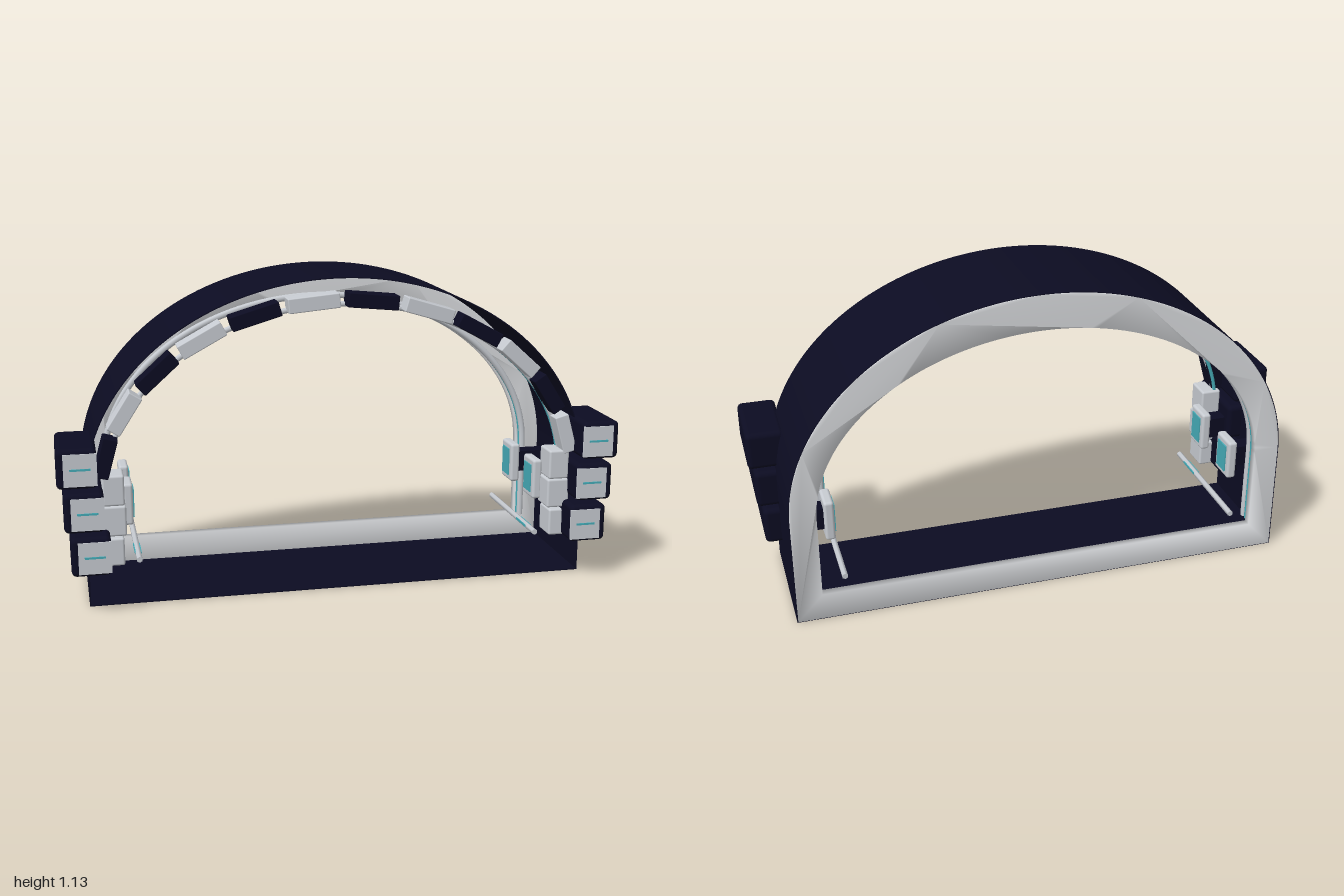
import * as THREE from 'three';
import { mergeVertices, toCreasedNormals } from 'three/addons/utils/BufferGeometryUtils.js';
import { RoundedBoxGeometry } from 'three/addons/geometries/RoundedBoxGeometry.js';

const material = (name, color, side = THREE.FrontSide) =>
  Object.assign(new THREE.MeshStandardMaterial({ color, side }), { name });

const SPRING = 0.4; // height where the straight legs meet the elliptical arch

// Closed arch outline: flat base, straight legs, half ellipse on top
function archOutline(a, b, base, Type) {
  const s = new Type();
  s.moveTo(-a, base);
  s.lineTo(a, base);
  s.lineTo(a, SPRING);
  s.absellipse(0, SPRING, a, b, 0, Math.PI, false, 0);
  s.lineTo(-a, base);
  return s;
}

function archRing(outer, inner, depth) {
  const shape = archOutline(...outer, THREE.Shape);
  shape.holes.push(archOutline(...inner, THREE.Path));
  return new THREE.ExtrudeGeometry(shape, { depth, bevelEnabled: false, curveSegments: 64 });
}

// Open arch line for the trim tubes
function archTube(a, b, base, z, radius) {
  const pts = [new THREE.Vector3(a, base, z), new THREE.Vector3(a, (base + SPRING) / 2, z)];
  for (let i = 0; i <= 32; i++) {
    const t = (i / 32) * Math.PI;
    pts.push(new THREE.Vector3(a * Math.cos(t), SPRING + b * Math.sin(t), z));
  }
  pts.push(new THREE.Vector3(-a, (base + SPRING) / 2, z), new THREE.Vector3(-a, base, z));
  return new THREE.TubeGeometry(new THREE.CatmullRomCurve3(pts), 120, radius, 8);
}

export function createModel() {
  const root = new THREE.Group();
  root.name = 'archGate';
  const navy = material('navy', 0x0c0c22, THREE.DoubleSide);
  const frameWhite = material('frameWhite', 0xdadcdf, THREE.DoubleSide);
  const panelGrey = material('panelGrey', 0xc8ccd2);
  const teal = material('teal', 0x46acb8);

  const add = (name, geometry, mat, x = 0, y = 0, z = 0, parent = root) => {
    const m = new THREE.Mesh(geometry, mat);
    m.name = name;
    m.position.set(x, y, z);
    parent.add(m);
    return m;
  };
  const box = (w, h, d, r = 0) =>
    r ? new RoundedBoxGeometry(w, h, d, 3, r) : new THREE.BoxGeometry(w, h, d);

  // Thin outer shell, open at both ends
  const shell = archRing([0.905, 0.73, 0], [0.901, 0.726, 0.004], 0.475);
  add('shell', toCreasedNormals(shell, 0.5), navy, 0, 0, -0.295);

  // Softly shaded frame closing the back edge of the shell
  let frame = archRing([0.902, 0.727, 0.002], [0.81, 0.6, 0.1], 0.03);
  frame.deleteAttribute('normal');
  frame.deleteAttribute('uv');
  frame = mergeVertices(frame, 1e-4);
  frame.computeVertexNormals();
  add('backFrame', frame, frameWhite, 0, 0, -0.2955);

  // Trim lines behind the front blocks and inside the back frame
  add('backTrim', archTube(0.822, 0.613, 0.1, -0.225, 0.012), panelGrey);
  add('backLightLine', archTube(0.82, 0.611, 0.1, -0.25, 0.007), teal);
  add('frontTrim', archTube(0.835, 0.632, 0.17, 0.14, 0.01), panelGrey);
  add('frontLightLine', archTube(0.833, 0.63, 0.17, 0.118, 0.007), teal);

  // Alternating blocks along the front of the arch
  const count = 12, A = 0.85, B = 0.65;
  const step = THREE.MathUtils.degToRad(156 / (count - 1));
  for (let i = 0; i < count; i++) {
    const t = THREE.MathUtils.degToRad(168) - i * step;
    const dx = A * Math.sin(t), dy = -B * Math.cos(t);
    const length = Math.hypot(dx, dy) * step * 0.87;
    const block = add('archBlock', box(length, 0.052, 0.075, 0.004), i % 2 ? panelGrey : navy,
      A * Math.cos(t), SPRING + B * Math.sin(t), 0.166);
    block.rotation.z = Math.atan2(dy, dx);
  }

  for (const side of [-1, 1]) {
    const g = new THREE.Group();
    g.name = side > 0 ? 'leftSide' : 'rightSide';
    root.add(g);

    // Stacked pods outside the legs, each with a front plate and light slit
    [[0.895, 0.217], [0.913, 0.372], [0.932, 0.527]].forEach(([x, y], i) => {
      add('pod', box(0.136, 0.138, 0.28, 0.018), navy, side * x, y, 0.15, g);
      add('podPlate', box(0.112, 0.112, 0.009), panelGrey, side * (x - 0.012), y - 0.002, 0.2885, g);
      add('podSlit', box(0.07, 0.007, 0.004), teal, side * (x - 0.012), y, 0.2945, g);
    });

    // Stacked blocks on the front inner edge of the leg
    [[0.2, 0.1, 0.064], [0.311, 0.108, 0.084], [0.42, 0.108, 0.076]].forEach(([y, h, w]) => {
      add('legBlock', box(w, h, 0.1, 0.008), panelGrey, side * 0.81, y, 0.152, g);
    });

    // Inner wall panels with glowing screens
    for (const z of [0.07, -0.17]) {
      add('wallPanel', box(0.035, 0.15, 0.11, 0.01), panelGrey, side * 0.757, 0.345, z, g);
      add('wallPanelMount', box(0.13, 0.08, 0.06), navy, side * 0.835, 0.345, z, g);
      add('panelScreen', box(0.006, 0.105, 0.068), teal, side * 0.738, 0.345, z, g);
    }

    // Slim rail running front to back just above the floor
    const rail = add('rail', new THREE.CylinderGeometry(0.011, 0.011, 0.49, 6), panelGrey,
      side * 0.728, 0.163, -0.055, g);
    rail.rotation.x = Math.PI / 2;
    add('railLight', box(0.024, 0.008, 0.1), teal, side * 0.728, 0.165, 0.07, g);
  }
  return root;
}
